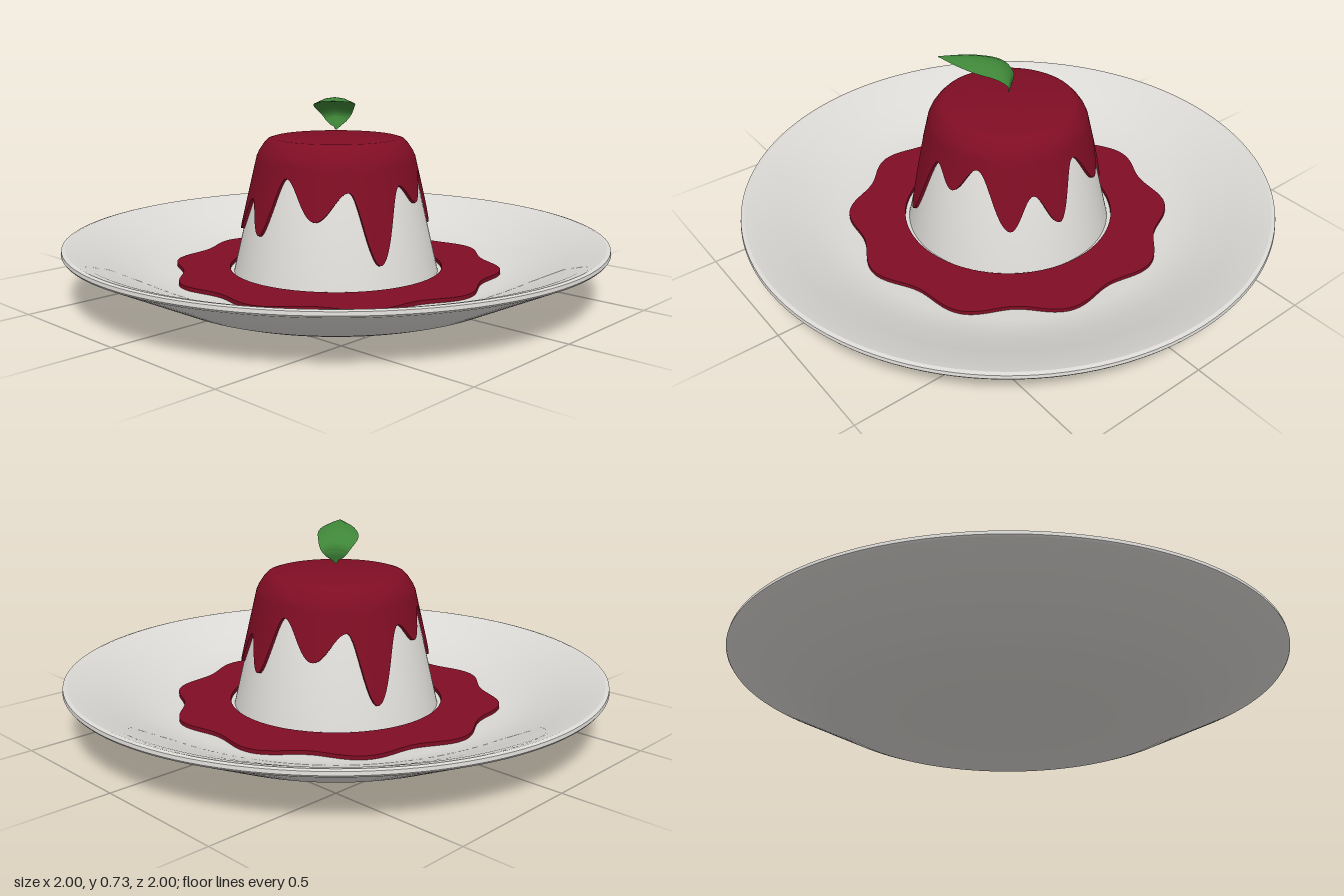
import * as THREE from 'three';
import { toCreasedNormals } from 'three/addons/utils/BufferGeometryUtils.js';

const material = (name, color, side = THREE.FrontSide) => {
  const m = new THREE.MeshStandardMaterial({ color, side });
  m.name = name;
  return m;
};

const lathe = (points, segments = 96) =>
  toCreasedNormals(new THREE.LatheGeometry(points.map(([x, y]) => new THREE.Vector2(x, y)), segments), 0.5);

// Skin a surface over rows of Vector3 with equal point counts
function loft(rows, crease) {
  const pos = [];
  for (let i = 0; i < rows.length - 1; i++) {
    for (let j = 0; j < rows[i].length - 1; j++) {
      const a = rows[i][j], b = rows[i + 1][j], c = rows[i][j + 1], d = rows[i + 1][j + 1];
      for (const p of [a, b, c, b, d, c]) pos.push(p.x, p.y, p.z);
    }
  }
  const g = new THREE.BufferGeometry();
  g.setAttribute('position', new THREE.Float32BufferAttribute(pos, 3));
  return toCreasedNormals(g, crease);
}

// Radius of the pudding wall at a height
const wall = (y) => 0.282 + (0.5 - y) * 0.235;

// Lower edge of the sauce: [angle in degrees, height], repeating every half turn
const DRIPS = [[7, 0.24], [23, 0.36], [37, 0.235], [59, 0.45], [76, 0.35], [91, 0.42],
  [112, 0.16], [128, 0.41], [149, 0.31], [171, 0.45], [187, 0.24]];

function dripHeight(deg) {
  const a = 7 + ((deg - 7) % 180 + 180) % 180;
  let k = 0;
  while (k < DRIPS.length - 2 && a > DRIPS[k + 1][0]) k++;
  const [a0, y0] = DRIPS[k], [a1, y1] = DRIPS[k + 1];
  const t = (a - a0) / (a1 - a0);
  return y0 + (y1 - y0) * (0.5 - 0.5 * Math.cos(Math.PI * t));
}

// Sauce poured over the pudding, ending in drips
function sauceCoat() {
  const rows = [], n = 240, steps = 8;
  for (let i = 0; i <= n; i++) {
    const deg = ((i % n) / n) * 360, a = THREE.MathUtils.degToRad(deg);
    const end = dripHeight(deg);
    const profile = [[0, 0.567], [0.235, 0.567], [0.252, 0.562], [0.268, 0.545], [0.285, 0.52]];
    for (let s = 0; s <= steps; s++) {
      const y = 0.5 + (end - 0.5) * (s / steps);
      profile.push([wall(y) + 0.012, y]);
    }
    profile.push([wall(end) - 0.003, end - 0.004]);
    rows.push(profile.map(([r, y]) => new THREE.Vector3(r * Math.cos(a), y, r * Math.sin(a))));
  }
  return loft(rows, 0.7);
}

// Flat scalloped ring of sauce on the plate
function saucePool() {
  const outline = [];
  for (let i = 0; i < 200; i++) {
    const a = (i / 200) * Math.PI * 2;
    const r = 0.592 + 0.022 * Math.cos(10 * (a - Math.PI / 2));
    outline.push(new THREE.Vector2(r * Math.cos(a), r * Math.sin(a)));
  }
  const shape = new THREE.Shape(outline);
  shape.holes.push(new THREE.Path().absarc(0, 0, 0.398, 0, Math.PI * 2, true));
  const g = new THREE.ExtrudeGeometry(shape, { depth: 0.018, bevelEnabled: false, curveSegments: 48 });
  return g.rotateX(-Math.PI / 2);
}

// Arched leaf with a thin lens cross-section
function leafBlade() {
  const rib = new THREE.CatmullRomCurve3([[0, 0.605, 0], [0.012, 0.66, -0.008], [-0.025, 0.703, 0.015],
    [-0.095, 0.724, 0.085], [-0.19, 0.72, 0.168]].map((p) => new THREE.Vector3(...p)));
  const across = new THREE.Vector3(0.66, 0, 0.75);
  const rows = [], n = 24;
  for (let i = 0; i <= n; i++) {
    const t = i / n, c = rib.getPointAt(t);
    const w = 0.004 * (1 - t) + 0.074 * Math.pow(Math.sin(Math.PI * Math.pow(t, 0.85)), 0.9);
    const thick = 0.01 * (1 - 0.6 * t);
    const at = (s, lift) => c.clone().addScaledVector(across, s * w)
      .add(new THREE.Vector3(0, lift - 0.3 * w * s * s, 0));
    rows.push([at(-1, 0), at(-0.5, 0), at(0, 0), at(0.5, 0), at(1, 0),
      at(0.5, -thick), at(0, -thick), at(-0.5, -thick), at(-1, 0)]);
  }
  return loft(rows, 0.8);
}

export function createModel() {
  const china = material('white china', 0xdcdad6);
  const cream = material('cream pudding', 0xdedcd8);
  const sauce = material('berry sauce', 0x800d24, THREE.DoubleSide);
  const green = material('leaf green', 0x3f8638, THREE.DoubleSide);

  const model = new THREE.Group();
  model.name = 'puddingOnPlate';
  const add = (name, geometry, mat) => {
    const mesh = new THREE.Mesh(geometry, mat);
    mesh.name = name;
    model.add(mesh);
    return mesh;
  };

  // Plate with flat foot, sloping side and thin rim
  add('plate', lathe([[0, 0], [0.62, 0], [0.66, 0.015], [0.995, 0.178], [1, 0.185], [0.998, 0.197],
    [0.985, 0.2], [0.95, 0.19], [0.85, 0.148], [0.75, 0.105], [0.68, 0.082], [0.62, 0.07], [0, 0.068]], 128), china);

  // Tapered pudding
  add('pudding', lathe([[wall(0.065), 0.065], [wall(0.5), 0.5], [0.26, 0.54], [0.23, 0.555], [0, 0.555]]), cream);

  add('sauceCoat', sauceCoat(), sauce);
  add('saucePool', saucePool(), sauce).position.y = 0.066;
  add('leaf', leafBlade(), green);

  return model;
}
